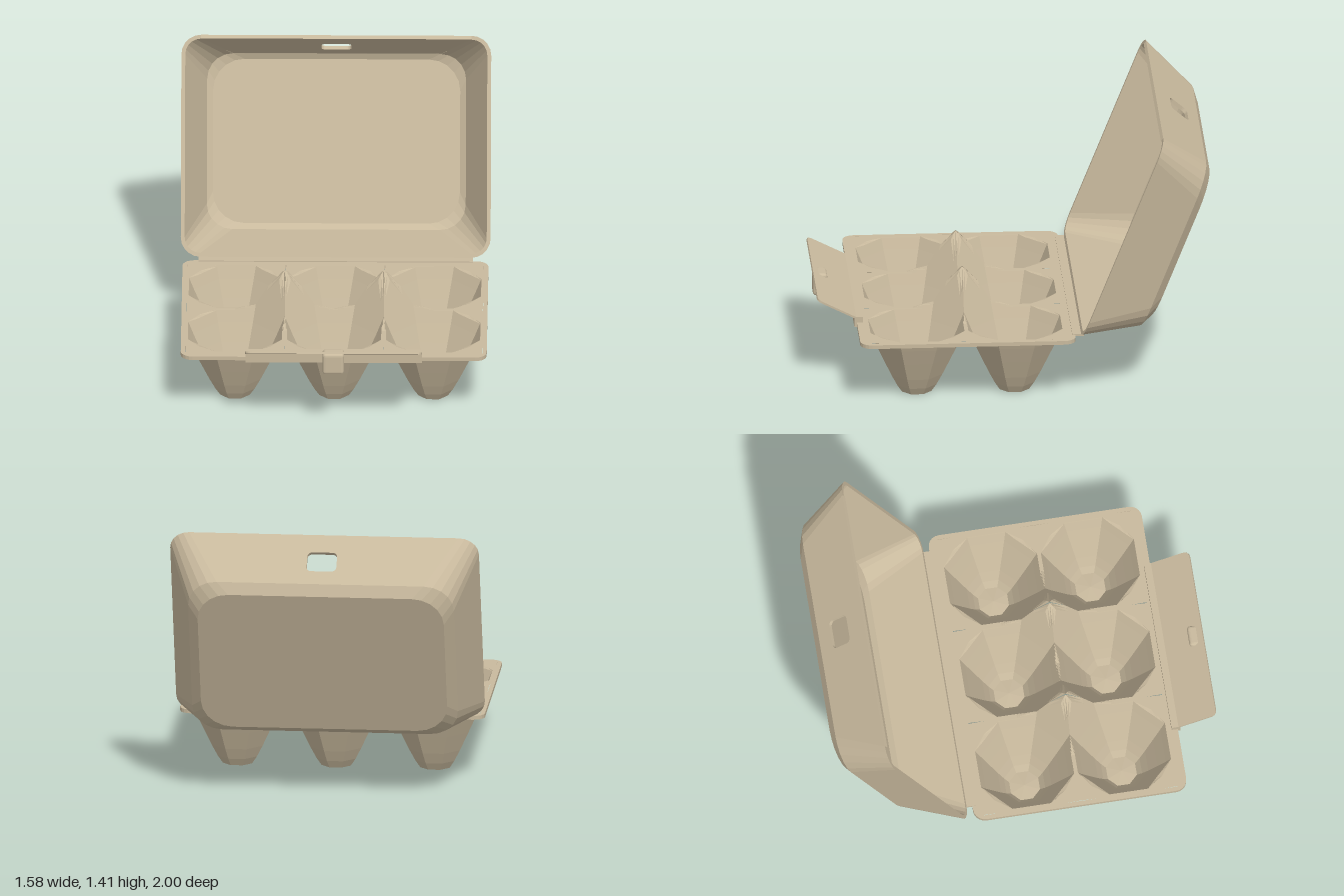
import * as THREE from 'three';
import { RoundedBoxGeometry } from 'three/addons/geometries/RoundedBoxGeometry.js';

const pulp = new THREE.MeshStandardMaterial({ color: 0xc8b99d, side: THREE.DoubleSide, flatShading: true });
pulp.name = 'paper pulp';

const TOP = 0.35, PITCH_X = 0.505, PITCH_Z = 0.5, MID_Z = 0.25;

function part(name, geometry, parent) {
  const mesh = new THREE.Mesh(geometry, pulp);
  mesh.name = name;
  parent.add(mesh);
  return mesh;
}

// Linear lookup in a list of [x, y] points, extended past the last one
function lookup(points, x) {
  let i = 1;
  while (i < points.length - 1 && x > points[i][0]) i++;
  const [x0, y0] = points[i - 1], [x1, y1] = points[i];
  return y0 + (y1 - y0) * (x - x0) / (x1 - x0);
}

// Rounded rectangle outline, counter-clockwise from the right side
function roundedLoop(hx, hy, r, k = 5) {
  const pts = [];
  for (let c = 0; c < 4; c++) {
    const sx = c === 0 || c === 3 ? 1 : -1, sy = c < 2 ? 1 : -1;
    for (let i = 0; i <= k; i++) {
      const a = (c + i / k) * Math.PI / 2;
      pts.push(new THREE.Vector2(sx * (hx - r) + r * Math.cos(a), sy * (hy - r) + r * Math.sin(a)));
    }
  }
  return pts;
}

function plate(shape, depth) {
  return new THREE.ExtrudeGeometry(shape, { depth, bevelEnabled: false, curveSegments: 5 });
}

// Surface through rings of equal point count; skip(ring, j) leaves a gap
function loft(rings, closeEnd, skip = () => false) {
  const n = rings[0].length, pos = [], idx = [];
  rings.forEach(r => r.forEach(p => pos.push(p.x, p.y, p.z)));
  for (let i = 0; i < rings.length - 1; i++) {
    for (let j = 0; j < n; j++) {
      if (skip(i, j)) continue;
      const a = i * n + j, b = i * n + (j + 1) % n;
      idx.push(a, a + n, b, b, a + n, b + n);
    }
  }
  if (closeEnd) {
    const base = (rings.length - 1) * n;
    for (let j = 1; j < n - 1; j++) idx.push(base, base + j + 1, base + j);
  }
  const g = new THREE.BufferGeometry();
  g.setAttribute('position', new THREE.Float32BufferAttribute(pos, 3));
  g.setIndex(idx);
  const flat = g.toNonIndexed();
  flat.computeVertexNormals();
  return flat;
}

// Cup wall: octagon radius -> height
const CUP = [[0, 0.008], [0.075, 0], [0.1, 0.04], [0.13, 0.1], [0.175, 0.2], [0.215, 0.29], [0.238, 0.345]];
// Divider peak: distance from its axis -> height
const PEAK = [[0, 0.57], [0.035, 0.545], [0.08, 0.49], [0.14, 0.415], [0.22, TOP]];

function tray(x, z) {
  const d = Math.min(...[-1, 1].map(s => Math.hypot(x - s * PITCH_X / 2, z - MID_Z)));
  return Math.max(TOP, lookup(PEAK, d));
}

// One square cell: octagonal cup in the middle, rising into the dividers
function cellGeometry(cx, cz) {
  const SEG = 32, OUT = 6, rim = CUP[CUP.length - 1][0];
  const ring = f => Array.from({ length: SEG }, (_, j) => {
    const a = j / SEG * Math.PI * 2, c = Math.cos(a), s = Math.sin(a);
    const near = Math.round(a / (Math.PI / 4)) * Math.PI / 4;
    const oct = 1 / Math.cos(a - near);
    const square = Math.min(PITCH_X / 2 / Math.max(Math.abs(c), 1e-6), PITCH_Z / 2 / Math.max(Math.abs(s), 1e-6));
    const r = f <= 1 ? f * rim * oct : THREE.MathUtils.lerp(rim * oct, square, f - 1);
    const x = cx + r * c, z = cz + r * s;
    return new THREE.Vector3(x, Math.min(lookup(CUP, r / oct), tray(x, z)), z);
  });
  const rings = [];
  for (let i = OUT; i > 0; i--) rings.push(ring(1 + i / OUT));
  for (let i = CUP.length - 1; i > 0; i--) rings.push(ring(CUP[i][0] / rim));
  rings.push(ring(0.001));
  // wind so the faces look up
  return loft(rings.map(r => r.reverse()), false);
}

function buildTray(parent) {
  const group = new THREE.Group();
  group.name = 'tray';
  parent.add(group);

  // Flat rim around the cells
  const shape = new THREE.Shape(roundedLoop(0.78, 0.55, 0.06));
  const hx = PITCH_X * 1.5, hz = PITCH_Z;
  shape.holes.push(new THREE.Path([[-hx, -hz], [-hx, hz], [hx, hz], [hx, -hz]].map(p => new THREE.Vector2(...p))));
  const rim = part('trayRim', plate(shape, 0.02), group);
  rim.rotation.x = -Math.PI / 2;
  rim.position.set(0, TOP - 0.02, MID_Z);

  for (const i of [-1, 0, 1])
    for (const j of [0, 1]) part('eggCup', cellGeometry(i * PITCH_X, j * PITCH_Z), group);

  // Fold between tray and lid
  part('hinge', new THREE.BoxGeometry(1.4, 0.01, 0.06), group).position.set(0, TOP, -0.315);
}

function buildLid(parent) {
  const lid = new THREE.Group();
  lid.name = 'lid';
  lid.position.set(0, 0.8825, -0.54);
  lid.rotation.x = -0.379;
  parent.add(lid);

  const K = 5, T = 0.02;
  const ring = (hx, hy, r, depth) => roundedLoop(hx, hy, r, K).map(p => new THREE.Vector3(p.x, p.y, -depth));
  const rings = [
    ring(0.63, 0.42, 0.16, 0.308),
    ring(0.68 - T, 0.47 - T, 0.15 - T, 0.286),
    ring(0.79 - T, 0.568 - T, 0.1 - T, 0),
    ring(0.79, 0.568, 0.1, 0),
    ring(0.68, 0.47, 0.15, 0.286),
    ring(0.63, 0.42, 0.16, 0.328)
  ];
  // Walls, with a gap in the far wall for the slotted panel
  part('lidShell', loft(rings, true, (i, j) => j === K && (i === 1 || i === 3)), lid);

  const floor = part('lidInnerFloor', new THREE.ShapeGeometry(new THREE.Shape(roundedLoop(0.63, 0.42, 0.16, K))), lid);
  floor.position.z = -0.308;

  // Slotted wall panel that receives the locking tab
  const drop = new THREE.Vector3(0, -0.098, -0.286), len = drop.length();
  const panel = new THREE.Shape([[-0.69, 0], [0.69, 0], [0.53, len], [-0.53, len]].map(p => new THREE.Vector2(...p)));
  panel.holes.push(new THREE.Path(roundedLoop(0.076, 0.058, 0.025).map(p => p.add(new THREE.Vector2(0, 0.165))).reverse()));
  const geo = plate(panel, 0.019).translate(0, 0, -0.019);
  const ex = new THREE.Vector3(1, 0, 0), et = drop.clone().normalize();
  geo.applyMatrix4(new THREE.Matrix4().makeBasis(ex, et, ex.clone().cross(et)).setPosition(0, 0.568, 0));
  part('slottedWall', geo, lid);
}

function buildFlap(parent) {
  const group = new THREE.Group();
  group.name = 'lockingFlap';
  parent.add(group);

  part('flapFold', new THREE.BoxGeometry(0.9, 0.055, 0.045), group).position.set(0, 0.352, 0.79);

  // Sloping leaf with rounded outer corners
  const w = 0.45, l = 0.25, r = 0.035;
  const shape = new THREE.Shape();
  shape.moveTo(-w, 0);
  shape.lineTo(w, 0);
  shape.lineTo(w, l - r);
  shape.quadraticCurveTo(w, l, w - r, l);
  shape.lineTo(-w + r, l);
  shape.quadraticCurveTo(-w, l, -w, l - r);
  const leaf = part('flapLeaf', plate(shape, 0.01), group);
  leaf.position.set(0, 0.365, 0.775);
  leaf.rotation.x = 1.1;

  part('lockingTab', new RoundedBoxGeometry(0.11, 0.118, 0.074, 2, 0.016), group).position.set(0, 0.405, 0.962);
}

export function createModel() {
  const model = new THREE.Group();
  model.name = 'eggCarton';
  buildTray(model);
  buildLid(model);
  buildFlap(model);
  return model;
}
